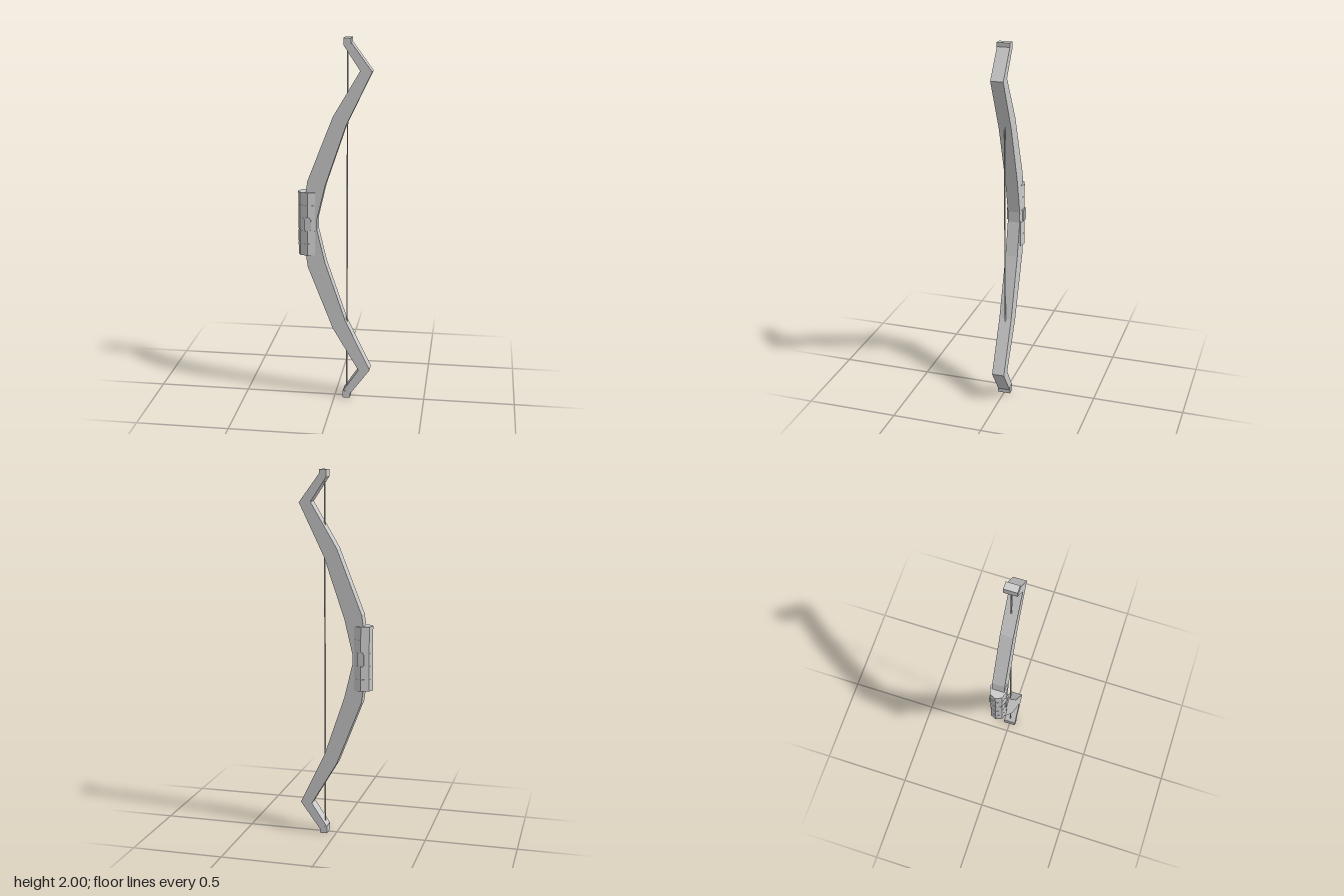
import * as THREE from 'three';

const mat = new THREE.MeshStandardMaterial({ color: 0xcccccc, flatShading: true });

function addMesh(parent, name, geometry) {
  const mesh = new THREE.Mesh(geometry, mat);
  mesh.name = name;
  parent.add(mesh);
  return mesh;
}

function extrude(points, depth) {
  const shape = new THREE.Shape(points.map(([x, y]) => new THREE.Vector2(x, y)));
  const geometry = new THREE.ExtrudeGeometry(shape, { depth, bevelEnabled: false });
  return geometry.translate(0, 0, -depth / 2);
}

export function createModel() {
  const bow = new THREE.Group();
  bow.name = 'bow';

  // Limbs: one side profile, mirrored about mid height
  const outer = [[-0.155, 1.17], [-0.145, 1.24], [-0.008, 1.59], [0.135, 1.832], [0.05, 1.96]];
  const inner = [[0.083, 1.985], [0.198, 1.828], [0.062, 1.545], [-0.05, 1.215], [-0.094, 1.03]];
  const flip = ([x, y]) => [x, 2 - y];
  const lower = [...outer, ...inner].map(flip);
  const upper = [...inner].reverse().concat([...outer].reverse());
  addMesh(bow, 'limbs', extrude([...lower, ...upper], 0.068));

  // Square tips holding the string
  for (const y of [0.02, 1.98]) {
    addMesh(bow, 'tip', new THREE.BoxGeometry(0.04, 0.04, 0.07)).position.set(0.068, y, 0);
  }

  // String
  addMesh(bow, 'string', new THREE.CylinderGeometry(0.004, 0.004, 1.94, 6)).position.set(0.066, 1, 0);

  // Grip: faceted sleeve made of wrapped bands with narrow grooves
  const half = [[-0.2, 0], [-0.186, 0.032], [-0.143, 0.047], [-0.104, 0.035]];
  const section = [...half, ...half.slice(1).reverse().map(([x, z]) => [x, -z])];
  const grip = new THREE.Group();
  grip.name = 'grip';
  bow.add(grip);
  const bands = 5, bottom = 0.825, pitch = 0.357 / bands;
  for (let i = 0; i < bands; i++) {
    const band = addMesh(grip, 'gripBand', extrude(section, pitch - 0.006).rotateX(-Math.PI / 2));
    band.position.y = bottom + pitch * (i + 0.5);
  }
  const core = section.map(([x, z]) => [x * 0.985 - 0.002, z * 0.96]);
  addMesh(grip, 'gripCore', extrude(core, 0.35).rotateX(-Math.PI / 2)).position.y = 1.0035;

  // Studs through both sides of the grip
  const stud = [[-0.16, 0.97], [-0.125, 0.97], [-0.125, 1.028], [-0.135, 1.042], [-0.15, 1.042], [-0.16, 1.028]];
  addMesh(grip, 'stud', extrude(stud, 0.098));

  return bow;
}
